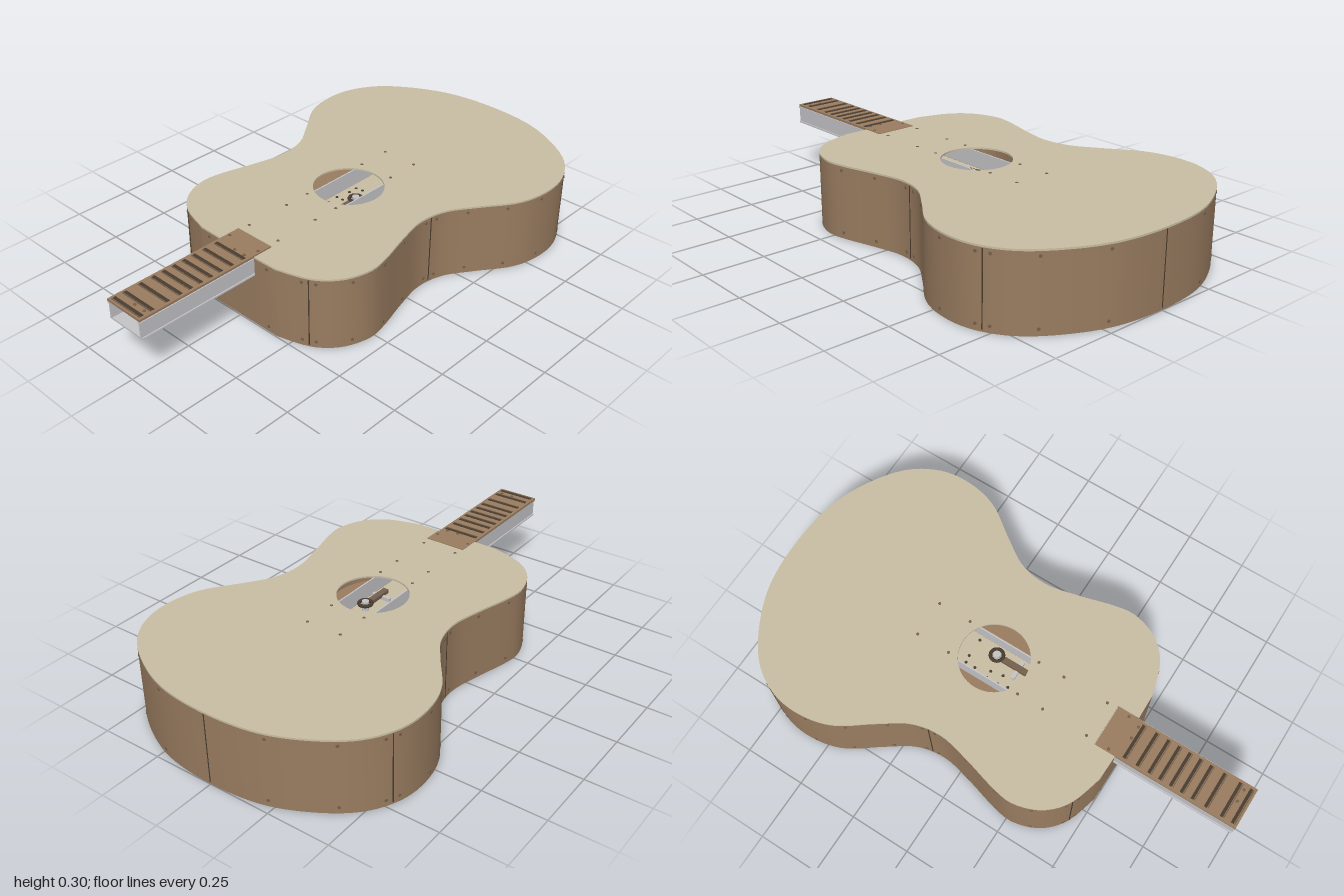
import * as THREE from 'three';
import { toCreasedNormals } from 'three/addons/utils/BufferGeometryUtils.js';

const material = (name, color) => {
  const m = new THREE.MeshStandardMaterial({ color });
  m.name = name;
  return m;
};

export function createModel() {
  const cream = material('pale wood', 0xc9bea4);
  const brown = material('brown wood', 0x997c60);
  const dark = material('dark wood', 0x4a3c2f);
  const bronze = material('screw bronze', 0x75604b);
  const metal = material('grey metal', 0xc4c4c8);

  const model = new THREE.Group();
  model.name = 'guitar';
  const add = (name, geometry, mat, x = 0, y = 0, z = 0) => {
    const mesh = new THREE.Mesh(geometry, mat);
    mesh.name = name;
    mesh.position.set(x, y, z);
    model.add(mesh);
    return mesh;
  };
  // Box given by its limits on each axis
  const box = (name, mat, x0, x1, y0, y1, z0, z1) =>
    add(name, new THREE.BoxGeometry(x1 - x0, y1 - y0, z1 - z0), mat, (x0 + x1) / 2, (y0 + y1) / 2, (z0 + z1) / 2);

  // Body outline in (x, z), from the neck round the back and forward again
  const half = [
    [0.19, 0.497], [0.32, 0.455], [0.4, 0.382], [0.437, 0.28], [0.428, 0.19], [0.39, 0.05],
    [0.364, -0.08], [0.385, -0.2], [0.455, -0.31], [0.545, -0.44], [0.577, -0.57], [0.562, -0.7],
    [0.49, -0.82], [0.36, -0.915], [0.2, -0.98],
  ];
  const points = [...half, [0, -1], ...half.map(([x, z]) => [-x, z]).reverse()];
  const curve = new THREE.SplineCurve(points.map(([x, z]) => new THREE.Vector2(x, z)));
  const rim = [];
  for (let i = 0; i <= 160; i++) {
    const p = curve.getPointAt(i / 160), t = curve.getTangentAt(i / 160);
    rim.push({ p, n: new THREE.Vector2(-t.y, t.x) });
  }
  const outer = rim.map(({ p }) => p);
  const inner = rim.map(({ p, n }) => p.clone().addScaledVector(n, -0.012));

  // Extrudes an (x, z) outline upward
  const slab = (outline, y0, y1, hole) => {
    const flip = (v) => new THREE.Vector2(v.x, -v.y);
    const shape = new THREE.Shape(outline.map(flip));
    if (hole) shape.holes.push(hole);
    const g = new THREE.ExtrudeGeometry(shape, { depth: y1 - y0, bevelEnabled: false, curveSegments: 40 });
    g.rotateX(-Math.PI / 2);
    g.translate(0, y0, 0);
    return toCreasedNormals(g, 0.5);
  };
  const v2 = (x, z) => new THREE.Vector2(x, z);
  const front = 0.499;
  const soundHole = new THREE.Path().absarc(0, 0.082, 0.138, 0, Math.PI * 2, true);
  add('soundboard', slab([v2(0.088, front), ...outer, v2(-0.088, front), v2(-0.088, 0.41), v2(0.088, 0.41)],
    0.29, 0.297, soundHole), cream);
  add('backPanel', slab(outer, 0, 0.008), brown);
  add('sideWall', slab([v2(0.088, front), ...outer, v2(-0.088, front), v2(-0.088, 0.487), ...inner.reverse(), v2(0.088, 0.487)],
    0.008, 0.29), brown);
  box('wallBelowNeck', brown, -0.088, 0.088, 0.008, 0.215, 0.487, front);

  // Rim point on the chosen side nearest a given z
  const rimAt = (z, side) => rim.filter(({ p }) => p.x * side >= -0.001)
    .reduce((a, b) => (Math.abs(b.p.y - z) < Math.abs(a.p.y - z) ? b : a));
  const up = new THREE.Vector3(0, 1, 0);
  const screwHead = new THREE.CylinderGeometry(0.006, 0.006, 0.004, 10);
  const sideScrew = (x, z, n) => {
    for (const y of [0.025, 0.274]) {
      const s = add('sideScrew', screwHead, bronze, x, y, z);
      s.quaternion.setFromUnitVectors(up, new THREE.Vector3(n.x, 0, n.y));
    }
  };
  const screwZ = [0.472, 0.445, 0.335, 0.185, 0.04, -0.11, -0.155, -0.285, -0.41, -0.555, -0.705, -0.75, -0.865, -0.97];
  for (const side of [1, -1]) {
    for (const z of screwZ) {
      const { p, n } = rimAt(z, side);
      sideScrew(p.x, p.y, n);
    }
    sideScrew(side * 0.15, front, v2(0, 1));
    // Joints between the bent side panels
    for (const z of [0.455, -0.133, -0.73]) {
      const { p, n } = rimAt(z, side);
      const seam = add('sideSeam', new THREE.BoxGeometry(0.004, 0.28, 0.003), dark, p.x, 0.148, p.y);
      seam.rotation.y = Math.atan2(n.x, n.y);
    }
    // Screws along the hidden rail
    for (const z of [-0.38, -0.24, 0.07, 0.18, 0.37]) {
      add('topScrew', screwHead, bronze, side * 0.075, 0.2965, z);
      add('backScrew', screwHead, bronze, side * 0.075, 0.0005, z);
    }
  }
  box('sideSeam', dark, -0.002, 0.002, 0.008, 0.289, -1.001, -0.998);

  // Metal channel running from the neck tip through the body
  box('channelFloor', metal, -0.087, 0.087, 0.217, 0.223, 0.41, 0.998);
  for (const side of [1, -1]) {
    const x = side * 0.079;
    box('channelWall', metal, x - 0.003, x + 0.003, 0.223, 0.289, -0.4, 1);
    box('channelLip', metal, x - 0.008, x + 0.008, 0.283, 0.289, 0.5, 1);
  }
  box('railFloor', cream, -0.076, 0.076, 0.215, 0.222, -0.4, 0.41);
  box('railEnd', cream, -0.076, 0.076, 0.222, 0.289, -0.4, -0.385);

  // Fingerboard with fret grooves
  box('fingerboard', brown, -0.088, 0.083, 0.289, 0.298, 0.413, 1);
  for (const z of [0.53, 0.585, 0.635, 0.68, 0.725, 0.77, 0.815, 0.87, 0.935, 0.98]) {
    box('fret', dark, -0.076, 0.072, 0.297, 0.3, z - 0.006, z + 0.006);
    box('fretEdge', bronze, -0.076, 0.072, 0.297, 0.3, z + 0.008, z + 0.012);
  }
  for (const x of [-0.076, 0.072]) add('neckScrew', screwHead, bronze, x, 0.298, 0.465);
  for (const x of [0.005, 0.055]) {
    for (const z of [0.515, 0.957]) add('neckScrew', screwHead, bronze, x, 0.298, z);
  }

  // Tuning hardware on the rail, seen through the sound hole
  const ring = add('tunerRing', new THREE.TorusGeometry(0.025, 0.007, 8, 24), dark, 0.03, 0.25, -0.09);
  ring.rotation.x = Math.PI / 2;
  add('tunerPost', new THREE.CylinderGeometry(0.014, 0.014, 0.04, 16), metal, 0.03, 0.24, -0.09);
  box('tunerArm', bronze, 0.018, 0.042, 0.235, 0.25, -0.065, 0.045);
  box('tunerBridge', metal, -0.015, 0.065, 0.225, 0.24, 0.0, 0.015);
  for (const [x, z] of [[-0.05, -0.18], [-0.02, -0.185], [0.055, -0.185], [-0.05, -0.14], [-0.06, -0.08],
    [-0.03, -0.08], [-0.06, -0.03], [-0.02, -0.03], [-0.05, 0.01]]) {
    add('railHole', screwHead, dark, x, 0.222, z);
  }

  // Stack of string anchors inside the neck
  box('anchorPlate', metal, 0.008, 0.05, 0.223, 0.289, 0.9, 0.905);
  for (let i = 0; i < 4; i++) {
    const y = 0.234 + i * 0.015;
    box('stringAnchor', bronze, 0.014, 0.044, y - 0.004, y + 0.004, 0.905, 0.93);
    box('anchorSlot', dark, 0.018, 0.04, y - 0.0015, y + 0.0015, 0.93, 0.932);
  }
  return model;
}
